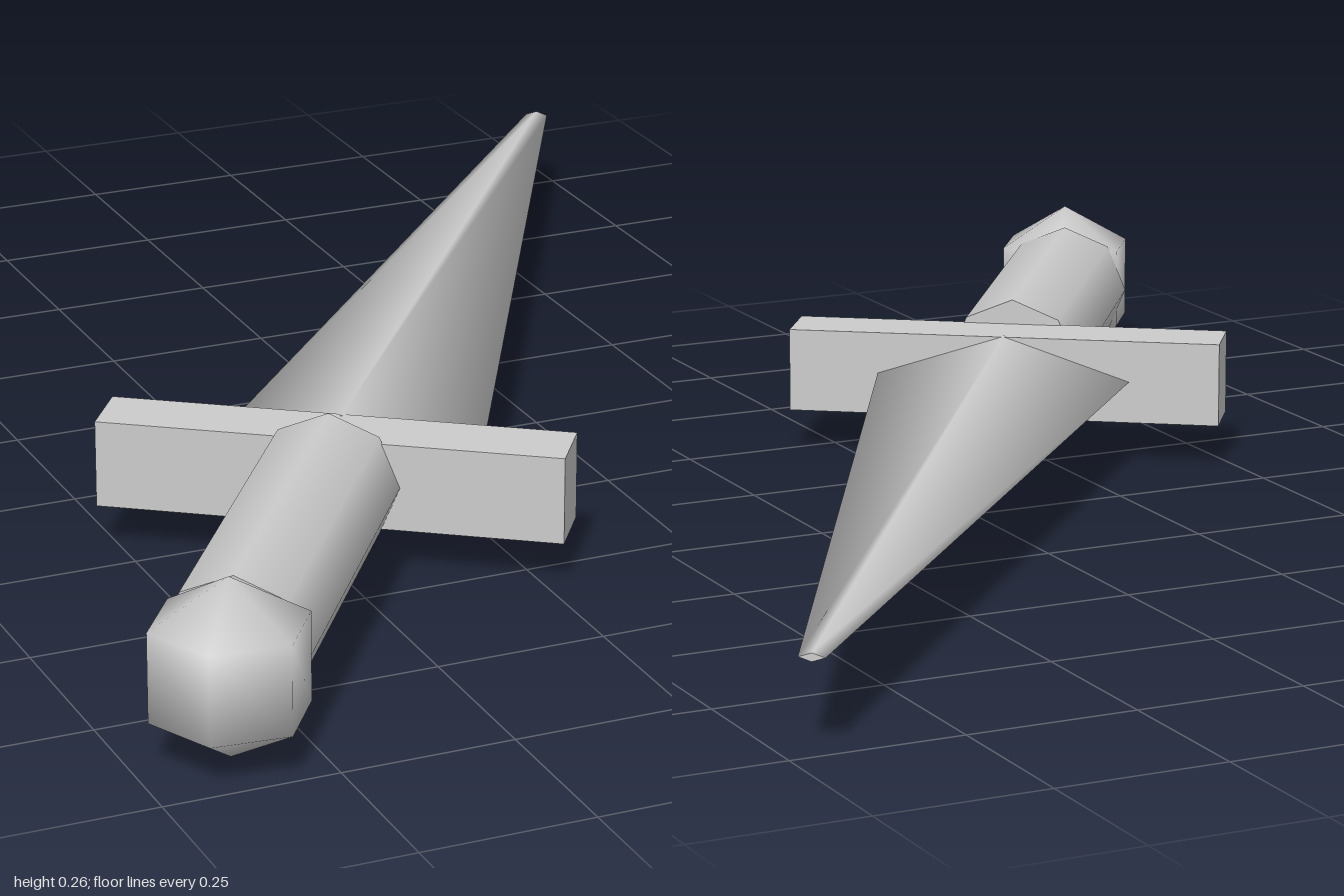
import * as THREE from 'three';

export function createModel() {
  const model = new THREE.Group();
  model.name = 'dagger';
  const grey = new THREE.MeshStandardMaterial({ color: 0xcccccc });
  grey.name = 'light grey';

  // The dagger lies flat: its blade points along local -z, its guard along local x
  const dagger = new THREE.Group();
  dagger.name = 'daggerBody';
  dagger.position.set(-0.225, 0.134, 0.335);
  dagger.rotation.y = THREE.MathUtils.degToRad(-35.3);
  model.add(dagger);

  const add = (name, geometry, x, z) => {
    const mesh = new THREE.Mesh(geometry, grey);
    mesh.name = name;
    mesh.position.set(x, 0, z);
    dagger.add(mesh);
  };

  // Cylinder laid along z, its top end towards the blade tip
  const rod = (front, back, length, sides) =>
    new THREE.CylinderGeometry(front, back, length, sides).rotateX(-Math.PI / 2);

  // Tapering blade with a flattened diamond section
  add('blade', rod(0.018, 0.2, 1.58, 4).scale(1, 0.33, 1), 0, -0.833);

  // Cross guard
  add('guard', new THREE.BoxGeometry(0.68, 0.13, 0.1), 0, 0);

  // Eight-sided grip
  add('grip', rod(0.104, 0.104, 0.58, 8), 0, 0.335);

  // Low-poly pommel with upright poles
  add('pommel', new THREE.SphereGeometry(0.129, 6, 3).rotateY(Math.PI / 6), 0.008, 0.684);

  return model;
}
